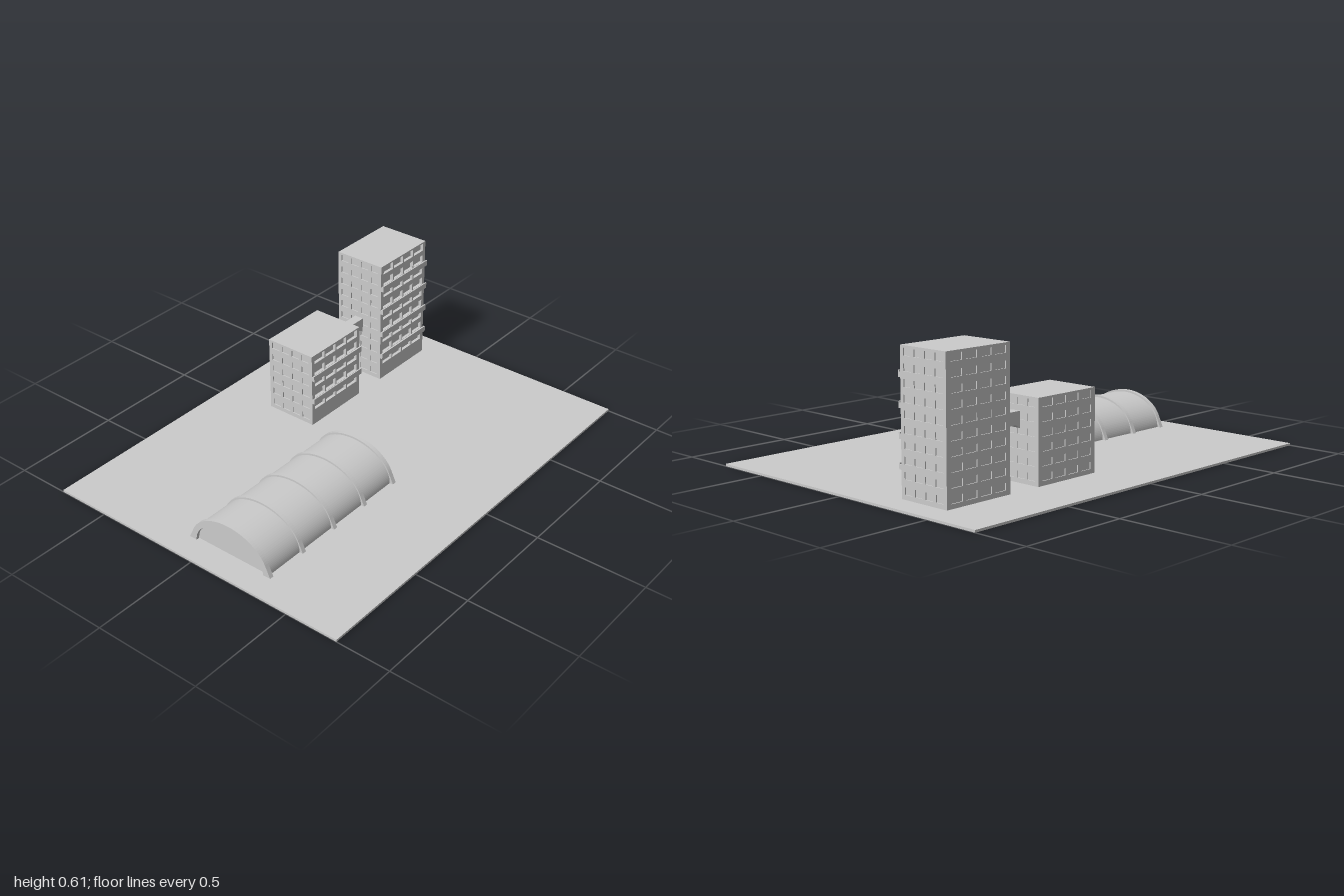
import * as THREE from 'three';

const concrete = new THREE.MeshStandardMaterial({ color: 0xcccccc });
concrete.name = 'concrete';

const BASE = 0.01; // top of the ground slab
const FLOOR = 0.06; // storey height

function add(parent, name, geometry, x = 0, y = 0, z = 0) {
  const mesh = new THREE.Mesh(geometry, concrete);
  mesh.name = name;
  mesh.position.set(x, y, z);
  parent.add(mesh);
  return mesh;
}

// box given by its min and max corners
function block(parent, name, x0, x1, y0, y1, z0, z1) {
  return add(parent, name, new THREE.BoxGeometry(x1 - x0, y1 - y0, z1 - z0),
    (x0 + x1) / 2, (y0 + y1) / 2, (z0 + z1) / 2);
}

function extrude(shape, depth) {
  return new THREE.ExtrudeGeometry(shape, { depth, bevelEnabled: false, curveSegments: 32 });
}

// wall centred on x with a grid of window openings, outer face towards +z
function wallGeometry(width, floors, firstFloor, bays, winW, winH, depth) {
  const h = floors * FLOOR, margin = 0.01;
  const shape = new THREE.Shape([
    new THREE.Vector2(-width / 2, 0), new THREE.Vector2(width / 2, 0),
    new THREE.Vector2(width / 2, h), new THREE.Vector2(-width / 2, h)]);
  const pitch = (width - 2 * margin) / bays;
  for (let f = firstFloor; f < floors; f++) {
    for (let b = 0; b < bays; b++) {
      const cx = -width / 2 + margin + (b + 0.5) * pitch;
      const cy = (f + 0.58) * FLOOR;
      shape.holes.push(new THREE.Path([
        new THREE.Vector2(cx - winW / 2, cy - winH / 2), new THREE.Vector2(cx - winW / 2, cy + winH / 2),
        new THREE.Vector2(cx + winW / 2, cy + winH / 2), new THREE.Vector2(cx + winW / 2, cy - winH / 2)]));
    }
  }
  return extrude(shape, depth).translate(0, 0, -depth);
}

function tower(name, floors, z0, z1) {
  const g = new THREE.Group();
  g.name = name;
  const x0 = -0.485, x1 = -0.235, top = BASE + floors * FLOOR;
  const shallow = 0.005, deep = 0.015;
  const cx = (x0 + x1) / 2, cz = (z0 + z1) / 2;
  block(g, 'core', x0 + shallow, x1 - deep, BASE, top, z0 + shallow, z1 - shallow);

  // end walls, rear wall and the deep balcony wall
  const endWall = wallGeometry(x1 - x0, floors, 0, 4, 0.042, 0.03, shallow);
  add(g, 'frontWall', endWall, cx, BASE, z1);
  add(g, 'backWall', endWall, cx, BASE, z0).rotation.y = Math.PI;
  const length = z1 - z0 - 2 * shallow;
  add(g, 'rearWall', wallGeometry(length, floors, 0, 4, 0.06, 0.03, shallow), x0, BASE, cz).rotation.y = -Math.PI / 2;
  add(g, 'balconyWall', wallGeometry(length, floors, 1, 4, 0.07, 0.036, deep), x1, BASE, cz).rotation.y = Math.PI / 2;

  // balcony ledges on every second storey
  for (let f = 2; f < floors; f += 2) {
    const y = f * FLOOR;
    block(g, 'balconyLedge', x1, -0.222, y + 0.005, y + 0.026, z0, z1);
    block(g, 'balconyRail', -0.228, -0.222, y + 0.026, y + 0.032, z0, z1);
  }
  return g;
}

// barrel-vaulted hall with arched ribs, outlines in x and y
function hall() {
  const g = new THREE.Group();
  g.name = 'vaultedHall';
  g.position.set(0.108, BASE, 0);

  const vault = new THREE.Shape();
  vault.absellipse(0, 0, 0.2, 0.145, 0, Math.PI, false);
  vault.closePath();
  add(g, 'vault', extrude(vault, 0.79), 0, 0, 0.085);

  const rib = new THREE.Shape();
  rib.moveTo(0.18, 0);
  rib.lineTo(0.217, 0);
  const a0 = 0.3;
  for (let i = 0; i <= 40; i++) {
    const a = a0 + (Math.PI - 2 * a0) * i / 40;
    rib.lineTo(0.205 * Math.cos(a), 0.154 * Math.sin(a));
  }
  rib.lineTo(-0.217, 0);
  rib.lineTo(-0.18, 0);
  rib.absellipse(0, 0, 0.18, 0.126, Math.PI, 0, true);
  const ribGeometry = extrude(rib, 0.02);
  for (let i = 0; i < 5; i++) add(g, 'rib', ribGeometry, 0, 0, 0.07 + i * 0.2);
  return g;
}

// bridge between the towers, thickened at both ends; profile in z and y
function bridge() {
  const profile = new THREE.Shape([
    [0.385, 0.235], [0.41, 0.25], [0.52, 0.25], [0.545, 0.235], [0.545, 0.305], [0.385, 0.305],
  ].map(([z, y]) => new THREE.Vector2(z, y)));
  const geometry = extrude(profile, 0.045).rotateY(Math.PI / 2);
  const mesh = new THREE.Mesh(geometry, concrete);
  mesh.name = 'bridge';
  mesh.position.x = -0.385;
  return mesh;
}

export function createModel() {
  const model = new THREE.Group();
  model.name = 'buildingSite';
  block(model, 'ground', -0.75, 0.75, 0, BASE, -1, 1);
  model.add(tower('tallTower', 10, -0.885, -0.545));
  model.add(tower('shortTower', 6, -0.385, -0.045));
  model.add(bridge());
  model.add(hall());
  return model;
}
